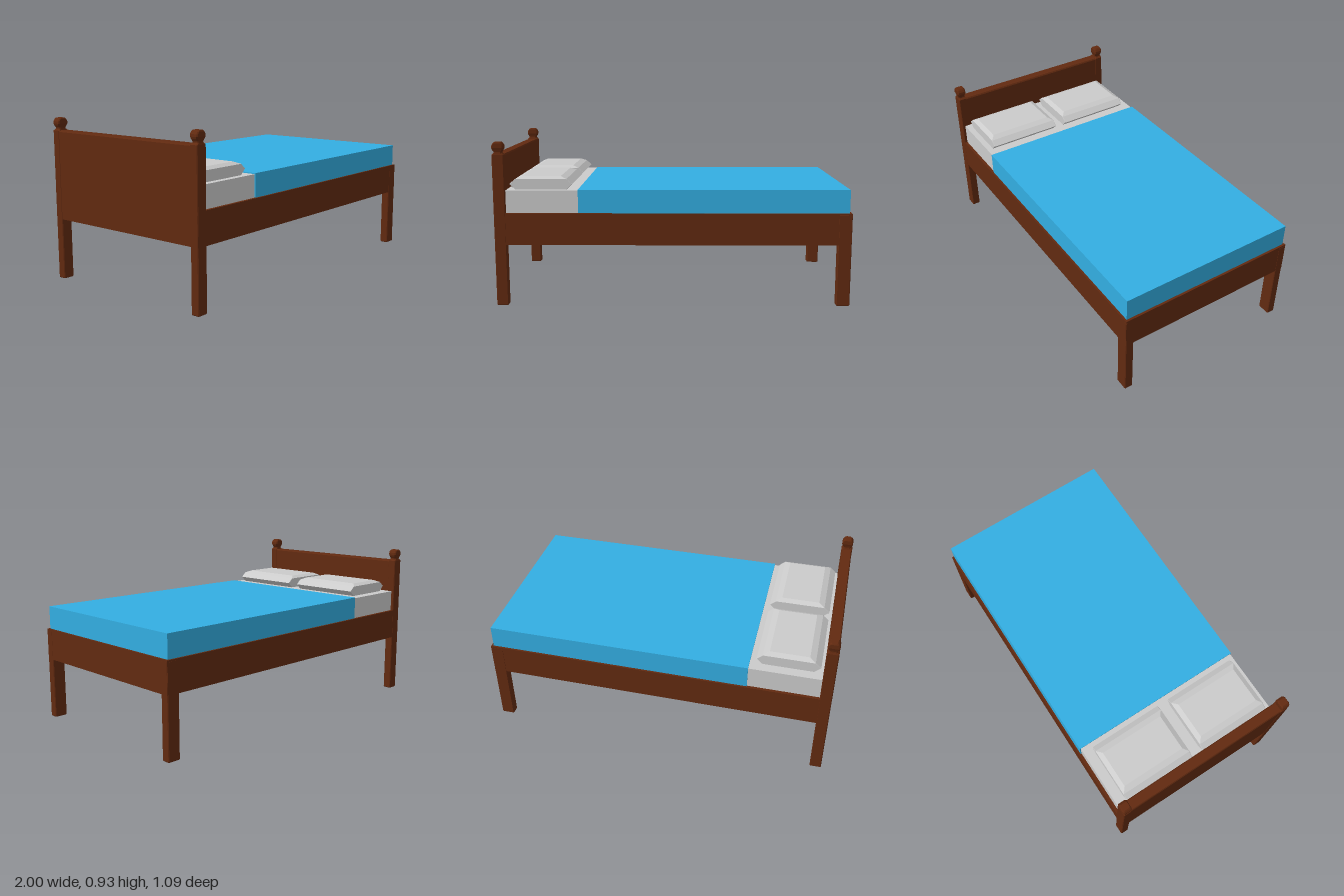
import * as THREE from 'three';

const wood = new THREE.MeshStandardMaterial({ color: 0x622a10, flatShading: true });
const blue = new THREE.MeshStandardMaterial({ color: 0x33aee2, flatShading: true });
const grey = new THREE.MeshStandardMaterial({ color: 0xcccccc, flatShading: true });

// Stacks chamfered rectangles, each [y, half width x, half depth z, corner chamfer], into a closed solid
function loft(levels) {
  const pos = [], idx = [], n = 8;
  for (const [y, a, b, c] of levels) {
    const ring = [[a, b - c], [a - c, b], [c - a, b], [-a, b - c], [-a, c - b], [c - a, -b], [a - c, -b], [a, c - b]];
    for (const [x, z] of ring) pos.push(x, y, z);
  }
  for (let l = 0; l < levels.length - 1; l++) {
    for (let i = 0; i < n; i++) {
      const p = l * n + i, q = l * n + (i + 1) % n;
      idx.push(p, p + n, q, q, p + n, q + n);
    }
  }
  const top = (levels.length - 1) * n;
  for (let i = 1; i < n - 1; i++) {
    idx.push(0, i, i + 1);
    idx.push(top, top + i + 1, top + i);
  }
  const g = new THREE.BufferGeometry();
  g.setAttribute('position', new THREE.Float32BufferAttribute(pos, 3));
  g.setIndex(idx);
  const flat = g.toNonIndexed();
  flat.computeVertexNormals();
  return flat;
}

export function createModel() {
  const model = new THREE.Group();

  const add = (name, geometry, material, x = 0, y = 0, z = 0) => {
    const mesh = new THREE.Mesh(geometry, material);
    mesh.name = name;
    mesh.position.set(x, y, z);
    model.add(mesh);
  };
  // Box given by its limits on each axis
  const box = (name, material, x0, x1, y0, y1, z0, z1) =>
    add(name, new THREE.BoxGeometry(x1 - x0, y1 - y0, z1 - z0), material,
      (x0 + x1) / 2, (y0 + y1) / 2, (z0 + z1) / 2);

  // Bed frame and headboard
  box('bedFrame', wood, -0.998, 0.998, 0.35, 0.53, -0.543, 0.543);
  add('headboard', loft([
    [0.35, 0.031, 0.535, 0.003], [0.85, 0.031, 0.535, 0.003], [0.858, 0.026, 0.532, 0.003],
  ]), wood, -0.967);

  // Corner posts: tall with knobs at the head, short legs at the foot
  for (const s of [1, -1]) {
    add('headPost', loft([
      [0, 0.03, 0.022, 0.004], [0.004, 0.033, 0.025, 0.004],
      [0.856, 0.033, 0.025, 0.004], [0.865, 0.024, 0.022, 0.006],
    ]), wood, -0.967, 0, s * 0.519);
    add('postKnob', loft([
      [0.86, 0.023, 0.022, 0.006], [0.872, 0.022, 0.02, 0.006], [0.885, 0.03, 0.023, 0.006],
      [0.895, 0.033, 0.026, 0.006], [0.908, 0.032, 0.026, 0.006],
      [0.92, 0.025, 0.026, 0.006], [0.927, 0.018, 0.022, 0.006],
    ]), wood, -0.967, 0, s * 0.519);
    add('footLeg', loft([
      [0, 0.035, 0.022, 0.004], [0.004, 0.038, 0.025, 0.004], [0.52, 0.038, 0.025, 0.004],
    ]), wood, 0.961, 0, s * 0.519);
  }

  // Mattress with a blanket over most of its length
  box('mattress', grey, -0.936, -0.5, 0.5, 0.656, -0.526, 0.526);
  box('blanket', blue, -0.53, 0.985, 0.5, 0.662, -0.532, 0.532);

  // Two pillows side by side
  for (const z of [-0.247, 0.268]) {
    add('pillow', loft([
      [0.655, 0.143, 0.222, 0.002], [0.688, 0.177, 0.222, 0.002],
      [0.716, 0.144, 0.222, 0.002], [0.73, 0.11, 0.194, 0.002],
    ]), grey, -0.742, 0, z);
  }

  return model;
}
